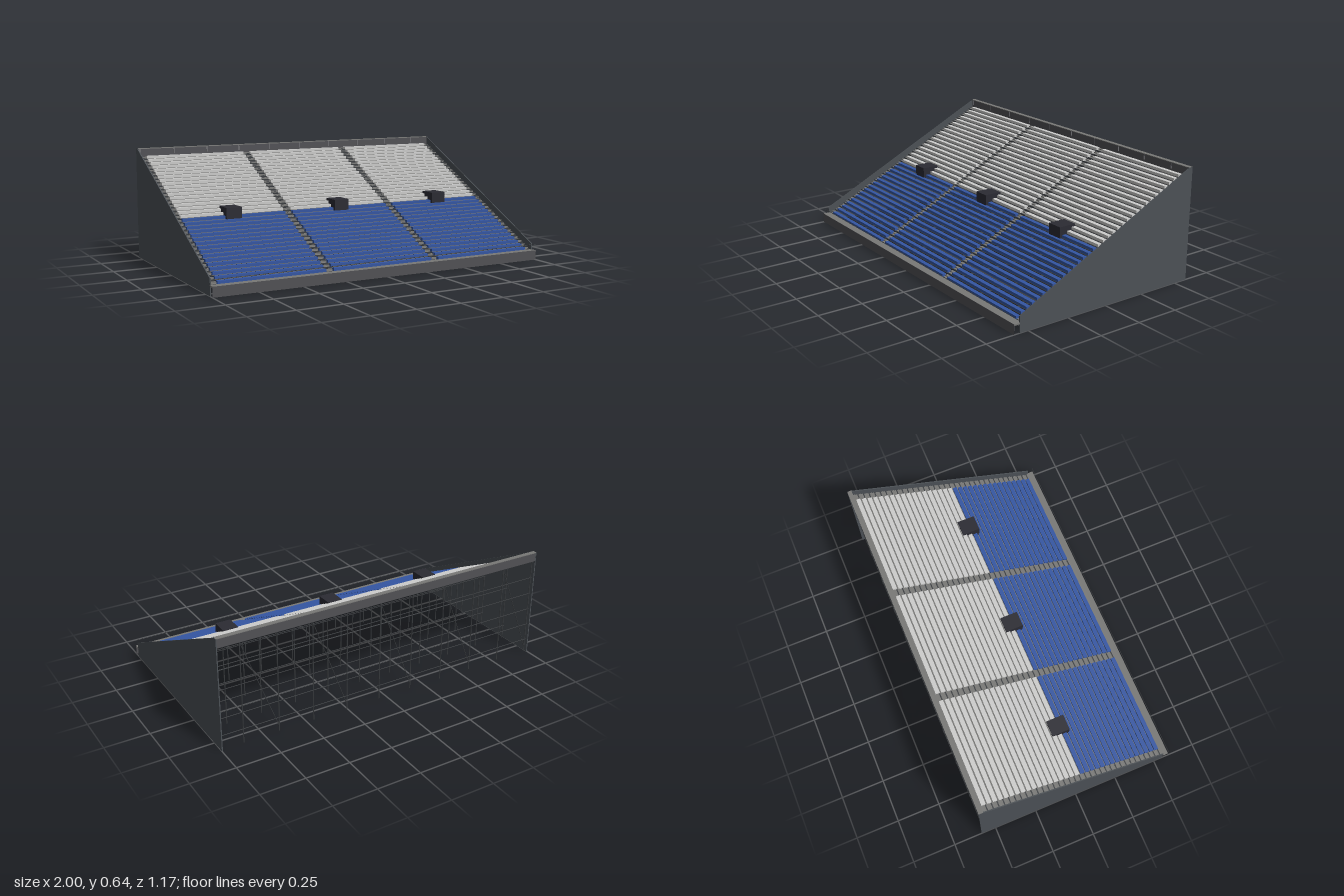
import * as THREE from 'three';

const mat = (name, color) => {
  const m = new THREE.MeshStandardMaterial({ color });
  m.name = name;
  return m;
};

export function createModel() {
  const cladding = mat('slate grey cladding', 0x4c5156);
  const fascia = mat('dark grey fascia', 0x515155);
  const concrete = mat('mid grey decking', 0x787876);
  const blue = mat('blue seats', 0x3456a3);
  const silver = mat('light grey seats', 0xcdcdcc);
  const black = mat('portal black', 0x2b2b33);
  const steel = mat('scaffold steel', 0x3c3f42);
  const pale = mat('panel seam grey', 0x85858a);

  const root = new THREE.Group();
  root.name = 'grandstand';
  const group = (name) => {
    const g = new THREE.Group();
    g.name = name;
    root.add(g);
    return g;
  };
  // Box given by its minimum and maximum on each axis
  const box = (parent, name, m, x0, x1, y0, y1, z0, z1) => {
    const mesh = new THREE.Mesh(new THREE.BoxGeometry(x1 - x0, y1 - y0, z1 - z0), m);
    mesh.position.set((x0 + x1) / 2, (y0 + y1) / 2, (z0 + z1) / 2);
    mesh.name = name;
    parent.add(mesh);
  };
  // Round bar between two points
  const bar = (parent, name, a, b, r) => {
    const p = new THREE.Vector3(...a), q = new THREE.Vector3(...b);
    const d = q.clone().sub(p);
    const mesh = new THREE.Mesh(new THREE.CylinderGeometry(r, r, d.length(), 6), steel);
    mesh.position.copy(p).add(q).multiplyScalar(0.5);
    mesh.quaternion.setFromUnitVectors(new THREE.Vector3(0, 1, 0), d.normalize());
    mesh.name = name;
    parent.add(mesh);
  };

  const ROWS = 34, BLUE_ROWS = 16, D = 0.0324, R = 0.016, Z0 = 0.54, Y0 = 0.055;
  const deckY = (z) => Y0 + ((Z0 - z) / D) * R;
  const blocks = [[-0.955, -0.35], [-0.305, 0.305], [0.35, 0.955]];
  const aisles = [[-0.994, -0.955], [-0.35, -0.305], [0.305, 0.35], [0.955, 0.994]];

  // Stepped rows: tread, bench seats, and half steps with dark nosings in the aisles
  const terrace = group('terrace');
  for (let i = 0; i < ROWS; i++) {
    const y = Y0 + i * R, z = Z0 - i * D;
    const seat = i < BLUE_ROWS ? blue : silver;
    box(terrace, 'tread', concrete, -0.994, 0.994, y - 0.003, y, z - D, z);
    for (const [a, b] of blocks)
      box(terrace, 'seatRow', seat, a, b, y, y + 0.0145, z - D + 0.009, z + 0.0005);
    for (const [a, b] of aisles) {
      box(terrace, 'aisleStep', concrete, a, b, y + 0.003, y + 0.008, z - D, z - D / 2);
      box(terrace, 'nosing', steel, a, b, y - 0.005, y + 0.0005, z - 0.006, z + 0.0005);
    }
  }

  // Entrance portals
  const portals = group('portals');
  for (const x of [-0.665, 0, 0.665])
    box(portals, 'portal', black, x - 0.045, x + 0.045, 0.28, 0.355, -0.033, 0.07);

  // Solid side walls
  const profile = new THREE.Shape([
    [-0.55, 0], [0.585, 0], [0.585, 0.64], [0.557, 0.64], [0.557, 0.635], [-0.55, 0.09],
  ].map(([u, v]) => new THREE.Vector2(u, v)));
  const wallGeo = new THREE.ExtrudeGeometry(profile, { depth: 0.006, bevelEnabled: false });
  wallGeo.rotateY(Math.PI / 2);
  for (const x of [-1, 0.994]) {
    const wall = new THREE.Mesh(wallGeo, cladding);
    wall.position.x = x;
    wall.name = 'sideWall';
    root.add(wall);
  }

  // Front walkway, its thin facing panel and handrail
  const front = group('frontWalkway');
  box(front, 'walkway', concrete, -1, 1, 0.047, 0.055, 0.538, 0.584);
  box(front, 'frontPanel', fascia, -1, 1, 0, 0.055, 0.584, 0.585);
  bar(front, 'handrail', [-1, 0.09, 0.583], [1, 0.09, 0.583], 0.0015);

  // Rear parapet with cap and panel seams
  const parapet = group('rearParapet');
  box(parapet, 'parapet', fascia, -0.994, 0.994, 0.588, 0.637, -0.584, -0.561);
  box(parapet, 'cap', concrete, -0.999, 0.999, 0.637, 0.6405, -0.585, -0.56);

  // Scaffolding: posts, ledgers and alternate diagonal braces
  const scaffold = group('scaffold');
  const STEP = 0.206, zs = [-0.57, -0.37, -0.17, 0.03, 0.23, 0.43];
  for (let k = 0; k < 10; k++) {
    const x = -0.985 + k * STEP;
    box(parapet, 'seam', pale, x - 0.002, x + 0.002, 0.605, 0.637, -0.561, -0.5595);
    for (const z of zs) bar(scaffold, 'post', [x, 0, z], [x, deckY(z) - 0.012, z], 0.003);
    if (k % 2 === 0)
      bar(scaffold, 'brace', [x, 0.03, -0.57], [x + STEP, 0.58, -0.57], 0.002);
  }
  zs.forEach((z, i) => {
    const step = i === 0 ? 0.1 : 0.25;
    for (let y = 0.08; y < deckY(z) - 0.02; y += step)
      bar(scaffold, 'ledger', [-0.994, y, z], [0.994, y, z], 0.002);
  });

  return root;
}
